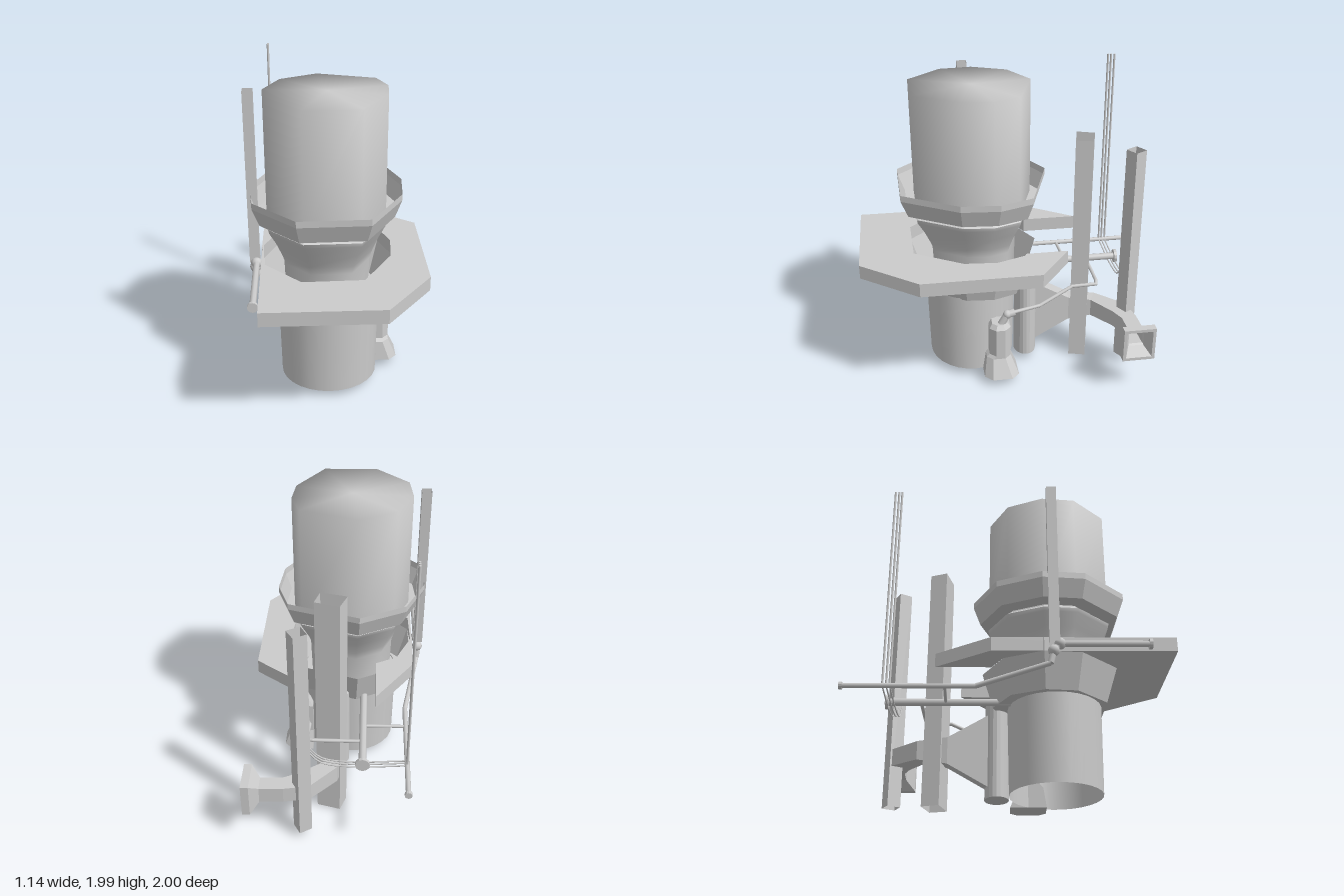
import * as THREE from 'three';

export function createModel() {
  const model = new THREE.Group();
  const flat = new THREE.MeshStandardMaterial({ color: 0xcccccc, flatShading: true, side: THREE.DoubleSide });
  const smooth = new THREE.MeshStandardMaterial({ color: 0xcccccc, side: THREE.DoubleSide });
  const add = (name, geometry, material = flat) => {
    const mesh = new THREE.Mesh(geometry, material);
    mesh.name = name;
    model.add(mesh);
    return mesh;
  };
  const V = (p) => new THREE.Vector3(...p);

  // Skin a list of equal-length point rings, optionally closing the ends
  function loft(rings, capStart = false, capEnd = false) {
    const n = rings[0].length, pos = rings.flat(2), idx = [];
    for (let r = 0; r < rings.length - 1; r++) {
      for (let i = 0; i < n; i++) {
        const a = r * n + i, b = r * n + (i + 1) % n;
        idx.push(a, a + n, b, a + n, b + n, b);
      }
    }
    const cap = (r, up) => {
      const c = pos.length / 3;
      for (let k = 0; k < 3; k++) pos.push(rings[r].reduce((s, p) => s + p[k], 0) / n);
      for (let i = 0; i < n; i++) {
        const a = r * n + i, b = r * n + (i + 1) % n;
        idx.push(c, up ? b : a, up ? a : b);
      }
    };
    if (capStart) cap(0, false);
    if (capEnd) cap(rings.length - 1, true);
    const g = new THREE.BufferGeometry();
    g.setAttribute('position', new THREE.Float32BufferAttribute(pos, 3));
    g.setIndex(idx);
    g.computeVertexNormals();
    return g;
  }

  // Irregular nine-sided plan shared by the tower tiers
  const cx = -0.08, cz = 0.25;
  const plan = [[-0.14, -0.23], [0.315, -0.08], [0.39, 0.13], [0.37, 0.37], [0.16, 0.72],
    [-0.27, 0.73], [-0.53, 0.465], [-0.555, 0.2], [-0.43, -0.08]];
  const scaledPlan = (s) => plan.map(([x, z]) => [cx + (x - cx) * s, cz + (z - cz) * s]);
  const tier = (levels, ...caps) => loft(levels.map(([y, s]) =>
    scaledPlan(s).map(([x, z]) => [x, y, z])), ...caps);

  // Tower: the collars are open funnels around the neck and the tank
  const base = add('baseDrum', new THREE.CylinderGeometry(0.32, 0.31, 0.56, 28, 1, true), smooth);
  base.scale.z = 0.92;
  base.position.set(-0.075, 0.33, 0.285);
  add('lowerCollar', tier([[0.6, 0.73], [0.82, 0.87]], true));
  add('neck', tier([[0.6, 0.56], [0.88, 0.58], [0.94, 0.62], [1.03, 0.7], [1.11, 0.79], [1.135, 0.8]]), smooth);
  add('neckRim', tier([[1.135, 0.8], [1.165, 0.71], [1.18, 0.7]]));
  add('upperCollar', tier([[1.175, 0.7], [1.175, 0.91], [1.29, 1], [1.33, 1], [1.29, 0.99], [1.185, 0.91], [1.185, 0.75]]));
  add('upperTank', tier([[1.18, 0.79], [1.94, 0.79]], false, true), smooth);

  // Deck wrapped around the lower collar and open at the back
  const opening = scaledPlan(0.87).slice(1);
  const deckShape = new THREE.Shape([[-0.49, 1], [0.24, 1], [0.52, 0.64], [0.52, -0.11], [0.24, -0.32],
    [0.24, -0.05], ...opening, [-0.25, -0.11], [-0.25, -0.46], [-0.49, -0.11],
  ].map(([x, z]) => new THREE.Vector2(x, -z)));
  const deck = new THREE.ExtrudeGeometry(deckShape, { depth: 0.09, bevelEnabled: false });
  deck.rotateX(-Math.PI / 2);
  add('deck', deck).position.y = 0.82;

  // Hollow rectangular columns, open at both ends
  function column(name, y0, y1, corners) {
    add(name, loft([y0, y1].map((y) => corners.map(([x, z]) => [x, y, z]))));
  }
  column('mainColumn', 0, 1.6, [[-0.03, -0.53], [0.12, -0.49], [0.09, -0.38], [-0.07, -0.42]]);
  column('rearColumn', 0.05, 1.56, [[0.215, -0.8], [0.26, -0.725], [0.185, -0.68], [0.14, -0.755]]);
  column('sidePost', 0.85, 1.955, [[-0.567, 0.233], [-0.505, 0.233], [-0.505, 0.297], [-0.567, 0.297]]);

  // Upright rounded tank behind the drum
  const backTank = add('backTank', new THREE.LatheGeometry([[0, 0.05], [1, 0.05], [1, 0.655], [0.85, 0.68], [0, 0.68]]
    .map(([r, y]) => new THREE.Vector2(r * 0.1, y)), 20));
  backTank.scale.z = 0.75;
  backTank.position.set(0.02, 0, -0.075);

  // Rectangular duct: x, y, z, heading, width, height
  const section = ([x, y, z, a, w, h]) => [[-1, -1], [1, -1], [1, 1], [-1, 1]].map(([u, v]) =>
    [x + u * w / 2 * Math.cos(a), y + v * h / 2, z + u * w / 2 * Math.sin(a)]);
  add('exhaustDuct', loft([
    [-0.01, 0.345, -0.13, 0, 0.1, 0.46], [-0.01, 0.345, -0.38, 0, 0.1, 0.17],
    [0.03, 0.36, -0.55, 0.45, 0.1, 0.12], [0.195, 0.365, -0.695, 0.9, 0.14, 0.11],
    [0.32, 0.365, -0.73, 1.45, 0.1, 0.11], [0.465, 0.365, -0.735, Math.PI / 2, 0.1, 0.11],
    [0.52, 0.365, -0.735, Math.PI / 2, 0.21, 0.23], [0.57, 0.365, -0.735, Math.PI / 2, 0.21, 0.23],
    [0.57, 0.365, -0.735, Math.PI / 2, 0.17, 0.19], [0.49, 0.365, -0.735, Math.PI / 2, 0.1, 0.11],
  ].map(section)));

  // Side outlet with flared foot: y, x min, x max, z min, z max, corner cut
  add('sideOutlet', loft([
    [0.05, 0.18, 0.385, 0.01, 0.24, 0.05], [0.18, 0.18, 0.33, 0.06, 0.22, 0.04],
    [0.2, 0.18, 0.33, 0.06, 0.2, 0.04], [0.4, 0.18, 0.33, 0.06, 0.2, 0.04], [0.43, 0.2, 0.31, 0.08, 0.18, 0.03],
  ].map(([y, a, b, c, d, k]) => [[a, y, c], [b - k, y, c], [b, y, c + k], [b, y, d - k], [b - k, y, d], [a, y, d]]), true, true));

  // Pipes run through straight segments with ball joints at the bends
  function pipe(name, radius, points, joint = radius) {
    const group = new THREE.Group();
    group.name = name;
    points.map(V).forEach((p, i, all) => {
      if (i > 0 && i < all.length - 1) {
        const ball = new THREE.Mesh(new THREE.SphereGeometry(joint, 8, 6), smooth);
        ball.position.copy(p);
        group.add(ball);
      }
      if (i === 0) return;
      const d = p.clone().sub(all[i - 1]);
      const rod = new THREE.Mesh(new THREE.CylinderGeometry(radius, radius, d.length(), 8), smooth);
      rod.position.copy(p).addScaledVector(d, -0.5);
      rod.quaternion.setFromUnitVectors(new THREE.Vector3(0, 1, 0), d.normalize());
      group.add(rod);
    });
    model.add(group);
  }
  pipe('frontPipe', 0.02, [[-0.525, 0.85, 0.84], [-0.525, 0.85, 0.3], [-0.535, 0.8, 0.26], [-0.535, 0.72, 0.24]], 0.036);
  pipe('longPipe', 0.016, [[-0.535, 0.72, 0.24], [-0.447, 0.61, -0.2], [-0.447, 0.61, -1]]);
  pipe('backPipe', 0.024, [[-0.175, 0.615, 0.05], [-0.175, 0.615, -0.75]]);
  pipe('crossBrace', 0.01, [[-0.447, 0.61, -0.38], [-0.175, 0.615, -0.39]]);
  pipe('feedPipe', 0.012, [[-0.175, 0.615, -0.54], [0.14, 0.615, -0.54], [0.18, 0.61, -0.53],
    [0.17, 0.6, -0.37], [0.24, 0.515, -0.14], [0.27, 0.5, 0.03]]);
  pipe('feedElbow', 0.026, [[0.27, 0.5, 0.03], [0.275, 0.49, 0.08], [0.275, 0.42, 0.12]], 0.03);

  // Round flanges closing the pipe ends
  for (const [x, y, z, r] of [[-0.525, 0.85, 0.835, 0.032], [-0.447, 0.61, -0.99, 0.023], [-0.175, 0.615, -0.75, 0.045]]) {
    const flange = add('pipeFlange', new THREE.CylinderGeometry(r, r, 0.02, 12));
    flange.rotation.x = Math.PI / 2;
    flange.position.set(x, y, z);
  }

  // Triple mast with slack lines to the rear column
  for (const z of [-0.703, -0.723, -0.746]) {
    pipe('mastRod', 0.007, [[-0.447, 0.6, z], [-0.447, 1.99, z]]);
    const sag = new THREE.CatmullRomCurve3([[-0.447, 0.61, z], [-0.1, 0.59, z], [0.08, 0.62, z], [0.17, 0.72, z]].map(V));
    add('slackLine', new THREE.TubeGeometry(sag, 14, 0.005, 5), smooth);
  }
  return model;
}
